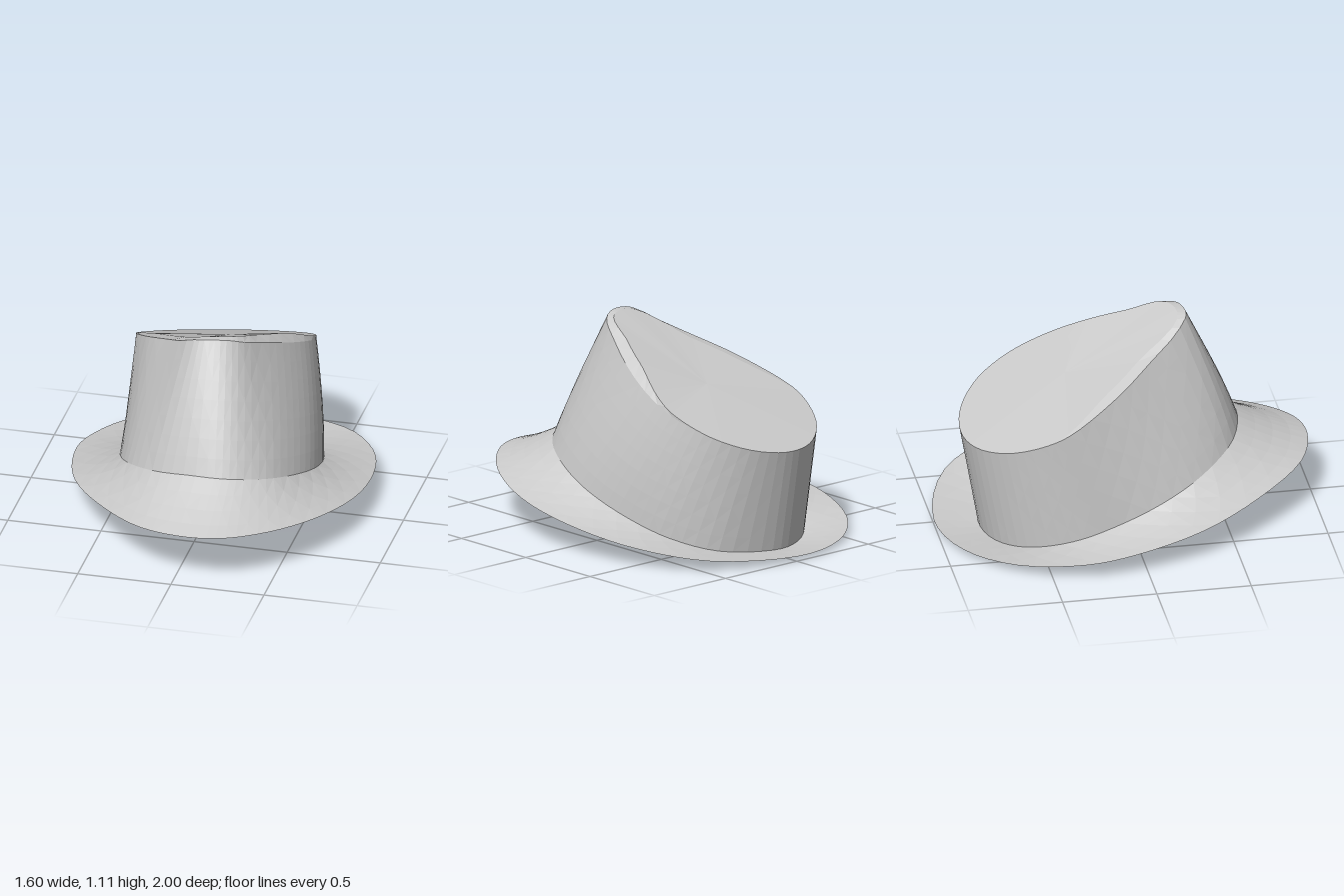
import * as THREE from 'three';

const SEGMENTS = 64;
const { smoothstep } = THREE.MathUtils;

// Matching outlines in plan as [x, z], from the front round by the left side.
const brimOutline = [
  [0.09, 1], [0.28, 0.965], [0.48, 0.81], [0.66, 0.55], [0.78, 0.2], [0.79, -0.2], [0.7, -0.55], [0.47, -0.85],
  [-0.02, -1], [-0.38, -0.91], [-0.65, -0.67], [-0.79, -0.33], [-0.79, -0.07], [-0.69, 0.3], [-0.47, 0.64], [-0.18, 0.92],
];
const baseOutline = [
  [0.1, 0.625], [0.25, 0.59], [0.38, 0.48], [0.48, 0.28], [0.53, 0.04], [0.51, -0.25], [0.43, -0.49], [0.26, -0.68],
  [-0.04, -0.77], [-0.26, -0.72], [-0.43, -0.58], [-0.53, -0.36], [-0.54, -0.15], [-0.49, 0.12], [-0.37, 0.36], [-0.16, 0.56],
];
const rimOutline = [
  [0.07, 0.335], [0.18, 0.28], [0.27, 0.12], [0.36, -0.1], [0.41, -0.32], [0.4, -0.53], [0.32, -0.7], [0.16, -0.82],
  [-0.05, -0.865], [-0.25, -0.82], [-0.42, -0.69], [-0.51, -0.53], [-0.53, -0.38], [-0.41, -0.11], [-0.25, 0.1], [-0.04, 0.33],
];

// Heights: each outline lies on its own tilted, slightly bent plane.
const brimHeight = (x, z) => 0.147 + 0.13 * z + 0.025 * x;
const baseHeight = (x, z) => 0.245 + 0.317 * z + 0.08 * Math.min(0, x);
const topHeight = (x, z) => 0.93 + 0.44 * z + 0.1 * x;
const rimHeight = (x, z) => topHeight(x, z)
  - 0.02 * smoothstep(x, 0.2, 0.4) * smoothstep(z, -0.7, -0.4)
  + 0.015 * smoothstep(z, 0.24, 0.33);

function ring(outline, height) {
  const curve = new THREE.CatmullRomCurve3(outline.map(([x, z]) => new THREE.Vector3(x, 0, z)), true);
  return Array.from({ length: SEGMENTS }, (_, i) => {
    const p = curve.getPoint(i / SEGMENTS);
    p.y = height(p.x, p.z);
    return p;
  });
}

// Rings between two outlines, shifted by a rule offset(point, t).
function between(a, b, steps, offset) {
  return Array.from({ length: steps + 1 }, (_, s) => a.map((p, i) => {
    const q = p.clone().lerp(b[i], s / steps);
    offset(q, s / steps);
    return q;
  }));
}

// Skin over rings, with diagonals that alternate.
function skin(rings) {
  const positions = rings.flat().flatMap((p) => p.toArray());
  const index = [];
  for (let r = 0; r < rings.length - 1; r++) {
    for (let i = 0; i < SEGMENTS; i++) {
      const j = (i + 1) % SEGMENTS;
      const a = r * SEGMENTS + i, b = r * SEGMENTS + j;
      const c = b + SEGMENTS, d = a + SEGMENTS;
      if ((i + r) % 2) index.push(a, b, c, a, c, d);
      else index.push(a, b, d, b, c, d);
    }
  }
  const geometry = new THREE.BufferGeometry();
  geometry.setAttribute('position', new THREE.Float32BufferAttribute(positions, 3));
  geometry.setIndex(index);
  geometry.computeVertexNormals();
  return geometry;
}

export function createModel() {
  const group = new THREE.Group();
  group.name = 'hat';
  const felt = new THREE.MeshStandardMaterial({ color: 0xcccccc, flatShading: true, side: THREE.DoubleSide });
  const add = (name, rings) => {
    const mesh = new THREE.Mesh(skin(rings), felt);
    mesh.name = name;
    group.add(mesh);
  };

  const brimEdge = ring(brimOutline, brimHeight);
  const base = ring(baseOutline, baseHeight);
  const rim = ring(rimOutline, rimHeight);

  // Brim: droops at the front, sags a little between edge and crown
  add('brim', between(brimEdge, base, 4, (p, t) => {
    p.y -= 0.04 * t * (1 - t) * Math.max(0, p.z + 0.5);
  }));

  // Crown wall: leans back, bulging slightly on the left and front
  add('crownWall', between(base, rim, 7, (p, t) => {
    const bulge = 1 + 0.1 * t * (1 - t);
    if (p.x > 0) p.x *= bulge;
    if (p.z > 0) p.z *= bulge;
  }));

  // Crown ridge: a bevel along the front sides, rising inward
  const inner = rim.map((p) => {
    const edge = smoothstep(p.z, -0.5, -0.1);
    const pinch = 0.15 * edge * (1 - 0.5 * smoothstep(p.z, 0.1, 0.3));
    const x = p.x + (0.03 - p.x) * pinch;
    const z = p.z + (-0.25 - p.z) * pinch;
    const lift = 0.035 * edge * (0.4 + 0.6 * smoothstep(p.x, -0.3, 0.1));
    return new THREE.Vector3(x, topHeight(x, z) + lift, z);
  });
  add('crownRidge', [rim, inner]);

  // Crown top: a nearly flat sloping panel
  const centre = inner.map(() => new THREE.Vector3(0, topHeight(0, -0.3) + 0.01, -0.3));
  add('crownTop', between(inner, centre, 4, () => {}));

  return group;
}
